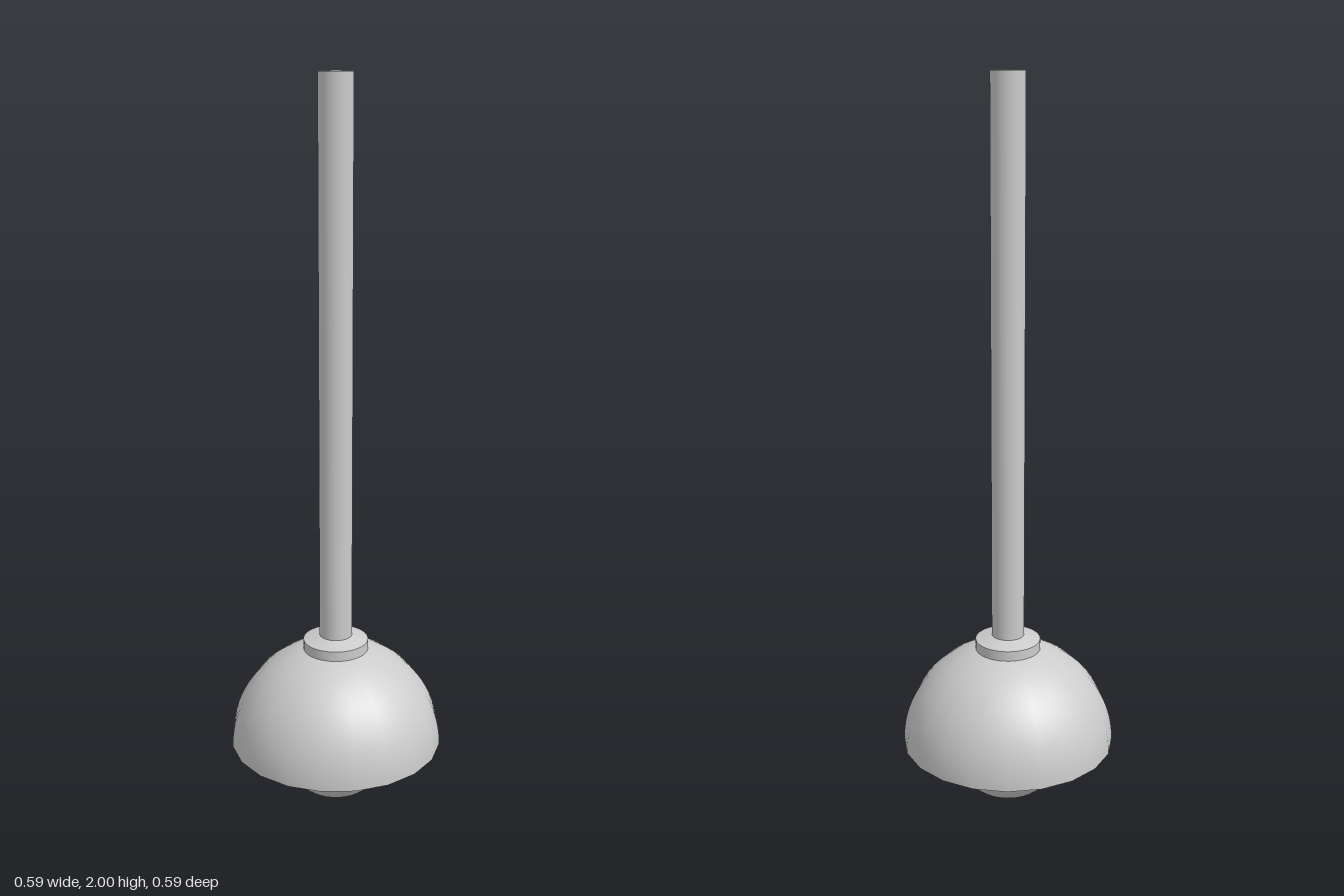
import * as THREE from 'three';
import { toCreasedNormals } from 'three/addons/utils/BufferGeometryUtils.js';

const material = new THREE.MeshStandardMaterial({ color: 0xcccccc });
const RIM_Y = 0.17;

function addPart(group, name, geometry, y = 0) {
  const mesh = new THREE.Mesh(geometry, material);
  mesh.name = name;
  mesh.position.y = y;
  group.add(mesh);
}

// Revolved part, smooth round the axis with sharp profile corners
function lathe(points, segments, crease = 0.35) {
  const profile = points.map(([r, y]) => new THREE.Vector2(r, y));
  return toCreasedNormals(new THREE.LatheGeometry(profile, segments), crease);
}

// Quarter circle from the rim (t = 0) to the pole (t = 1)
function arcPoint(radius, t) {
  const a = t * Math.PI / 2;
  return [t === 1 ? 0 : radius * Math.cos(a), radius * Math.sin(a)];
}

export function createModel() {
  const model = new THREE.Group();
  model.name = 'pendantLamp';

  // Hollow dome: down the inside, across the rim, up the outside
  const steps = 20;
  const dome = [];
  for (let i = steps; i >= 0; i--) dome.push(arcPoint(0.257, i / steps));
  for (let i = 0; i <= steps; i++) dome.push(arcPoint(0.295, i / steps));
  addPart(model, 'shade', lathe(dome, 20), RIM_Y);

  // Round bulb
  addPart(model, 'bulb', new THREE.SphereGeometry(0.163, 40, 28), 0.163);

  // Collar with a gently sloping top
  addPart(model, 'collar', lathe([[0, 0.44], [0.09, 0.44], [0.09, 0.479], [0.045, 0.492], [0, 0.492]], 40, 0.25));

  // Hanging rod, running through the shade to the bulb
  const rodBottom = 0.3;
  const rodLength = 2 - rodBottom;
  addPart(model, 'rod', new THREE.CylinderGeometry(0.045, 0.045, rodLength, 40), rodBottom + rodLength / 2);

  return model;
}
